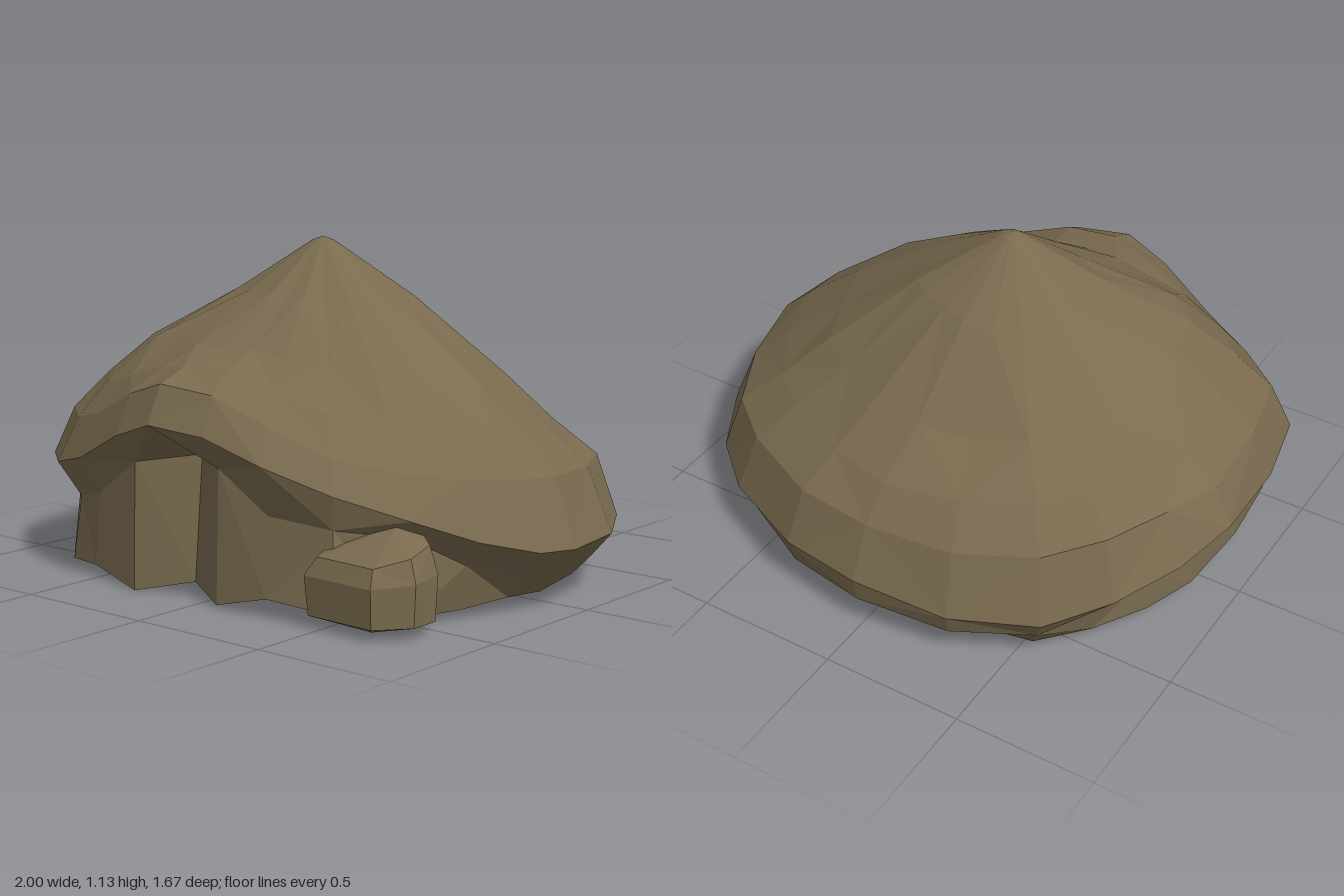
import * as THREE from 'three';

// Widest edge of the roof as [x, z, y], clockwise seen from above, starting at +x.
const RIM = [
  [1, .07, .22], [.97, .22, .23], [.87, .40, .28], [.72, .55, .35], [.52, .68, .42],
  [.30, .77, .50], [.09, .80, .57], [-.12, .83, .59], [-.30, .80, .53], [-.54, .73, .42],
  [-.74, .65, .37], [-.92, .50, .36], [-.98, .22, .36], [-1, -.13, .40], [-.93, -.34, .35],
  [-.80, -.54, .29], [-.63, -.70, .23], [-.34, -.81, .21], [0, -.84, .23], [.30, -.79, .22],
  [.62, -.64, .21], [.80, -.48, .21], [.94, -.23, .21],
];
// Height of the shoulder crease above each rim point.
const SHOULDER = [.44, .45, .46, .48, .53, .62, .70, .72, .66, .57, .53, .53, .54, .53, .53,
  .50, .46, .43, .42, .42, .42, .42, .43];
// Where the roof's underside meets the wall: [scale, y].
const LIP = [
  [.93, .14], [.92, .14], [.91, .19], [.95, .29], [.97, .31], [.91, .33], [.90, .46], [.74, .47],
  [.92, .44], [.93, .30], [.92, .25], [.91, .25], [.89, .25], [.86, .26], [.86, .22], [.89, .17],
  [.94, .14], [.97, .13], [.98, .14], [.97, .13], [.95, .13], [.94, .13], [.93, .13],
];
// Foot of the wall: [scale, y].
const FOOT = [
  [.86, .06], [.85, .06], [.87, .04], [.96, .04], [1.05, .06], [.94, .07], [.92, .02], [.78, .05],
  [.93, .01], [.95, .05], [.95, .03], [.93, .07], [.90, .07], [.87, .08], [.86, .07], [.86, .06],
  [.87, .05], [.83, .06], [.80, .03], [.82, .03], [.84, .04], [.85, .05], [.86, .06],
];
const APEX = [-.08, 1.14, .02];

// Repeatable unevenness, from -1 to 1
const rough = (i, j) => {
  const s = Math.sin(i * 127.1 + j * 311.7) * 43758.5453;
  return 2 * (s - Math.floor(s)) - 1;
};

// Closed surface through rings of points listed from top to bottom
function loft(rings, top, bottom) {
  const n = rings[0].length;
  const points = [top, ...rings.flat(), bottom];
  const index = [];
  const at = (i, j) => 1 + i * n + (j % n);
  for (let j = 0; j < n; j++) {
    index.push(0, at(0, j + 1), at(0, j));
    for (let i = 0; i < rings.length - 1; i++) {
      const a = at(i, j), b = at(i, j + 1), c = at(i + 1, j), d = at(i + 1, j + 1);
      if ((i + j) % 2) index.push(a, b, c, b, d, c);
      else index.push(a, b, d, a, d, c);
    }
    index.push(at(rings.length - 1, j), at(rings.length - 1, j + 1), points.length - 1);
  }
  const geometry = new THREE.BufferGeometry();
  geometry.setAttribute('position', new THREE.Float32BufferAttribute(points.flat(), 3));
  geometry.setIndex(index);
  geometry.computeVertexNormals();
  return geometry;
}

function shellGeometry() {
  // Roof ring: the rim drawn in towards the apex
  const roofRing = (scale, height, id, wobble, pull = 0) => RIM.map(([x, z], j) => {
    const s = scale + wobble * rough(id, j) - pull * fill(x, z);
    return [
      APEX[0] + (x - APEX[0]) * s,
      height(x, z, j) + wobble * .6 * rough(j, id),
      APEX[2] + (z - APEX[2]) * s,
    ];
  });
  const under = (fn) => RIM.map(([x, z], j) => {
    const [s, y] = fn(j, x, z);
    return [x * s, y, z * s];
  });
  const slope = (x, z) => .735 - .02 * x + .085 * z;
  // The inside of the wall thickens towards the front left corner
  const fill = (x, z) => THREE.MathUtils.clamp(x + z - .3, 0, 1);
  const rings = [
    // Outside of the roof
    roofRing(.04, () => 1.125, 1, 0),
    roofRing(.3, (x, z) => .945 + .02 * z, 2, .015),
    roofRing(.6, slope, 3, .02),
    roofRing(.79, (x, z, j) => .4 * slope(x, z) + .6 * SHOULDER[j] + .015, 4, .015),
    roofRing(.92, (x, z, j) => SHOULDER[j], 5, .01),
    RIM.map(([x, z, y]) => [x, y, z]),
    // Overhang and wall
    under((j) => LIP[j]),
    under((j) => FOOT[j]),
    // Inside of the wall, then the hollow under the roof
    under((j) => [FOOT[j][0] * .97, FOOT[j][1] + .01]),
    under((j, x, z) => [
      FOOT[j][0] * .86 - .3 * fill(x, z), .37 + .05 * z - .05 * x + .02 * rough(9, j),
    ]),
    roofRing(.64, (x, z) => .5 + .04 * z, 6, .02, .25),
    roofRing(.38, (x, z) => .7 + .03 * z, 7, .015, .12),
  ];
  return loft(rings, APEX, [-.08, .92, .02]);
}

// Blocky stone at the front corner, joined to the end of the wall
function cornerGeometry() {
  const outline = [[.81, .53], [.81, .64], [.72, .745], [.45, .735], [.42, .56], [.72, .46]];
  const ring = (y, scale, tilt) => outline.map(([x, z]) => [
    .66 + (x - .66) * scale, y + tilt * (.6 - z), .6 + (z - .6) * scale,
  ]);
  return loft([ring(.27, .84, .25), ring(.19, 1, .1), ring(.05, .95, 0)],
    [.67, .33, .56], [.64, .01, .64]);
}

export function createModel() {
  const group = new THREE.Group();
  const stone = new THREE.MeshStandardMaterial({ color: 0x7a6b4f, flatShading: true });
  stone.name = 'brown stone';
  const parts = { shell: shellGeometry(), cornerStone: cornerGeometry() };
  for (const [name, geometry] of Object.entries(parts)) {
    const mesh = new THREE.Mesh(geometry, stone);
    mesh.name = name;
    group.add(mesh);
  }
  return group;
}
